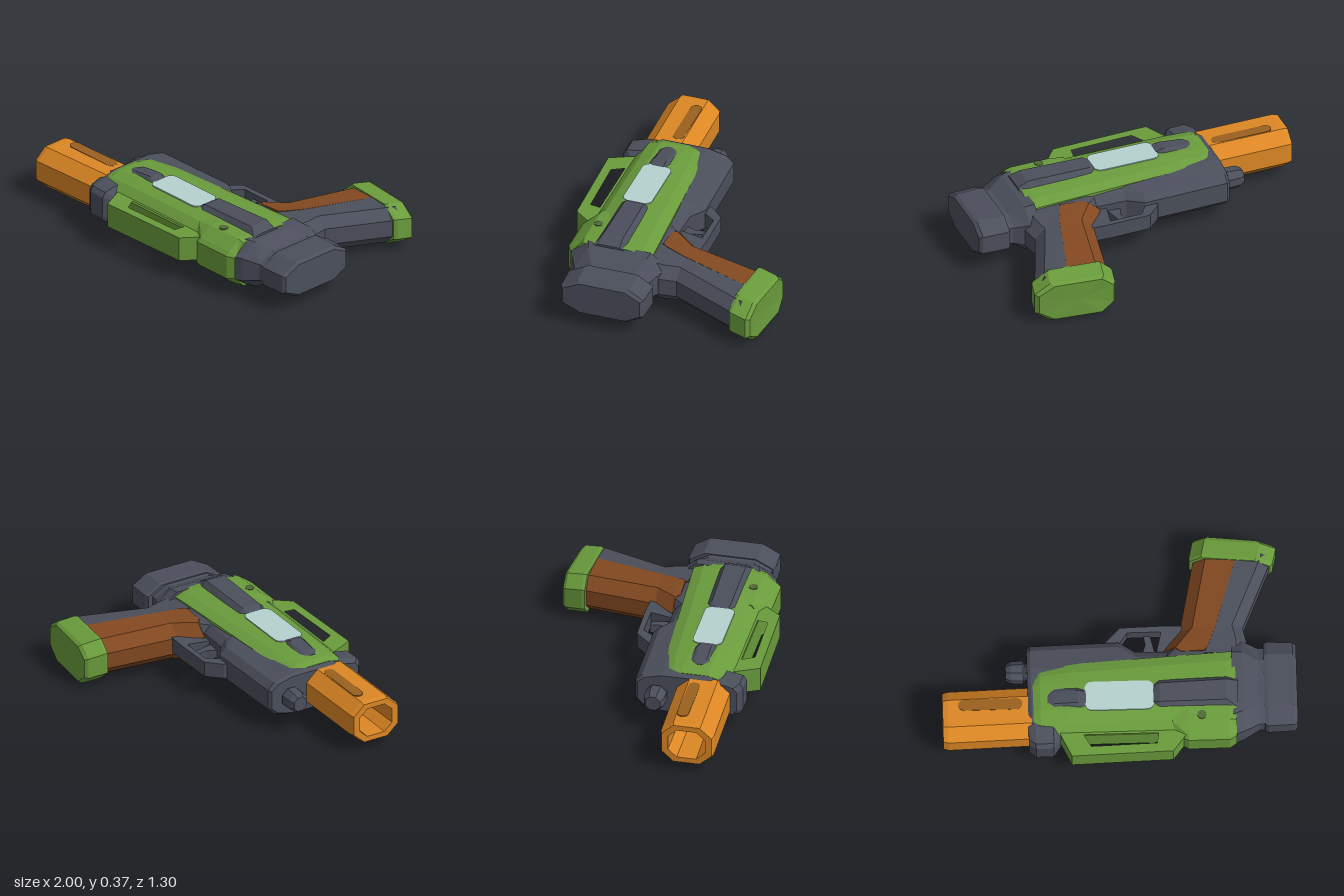
import * as THREE from 'three';

const CY = 0.187; // mid-thickness of the blaster, which lies on its side

const material = (name, color) => {
  const m = new THREE.MeshStandardMaterial({ color, flatShading: true });
  m.name = name;
  return m;
};

// Ring from half-profile points [u, half thickness], mirrored about y = cy.
function ring(axis, at, profile, cy = CY) {
  const both = [...profile, ...profile.map(([u, h]) => [u, -h]).reverse()];
  return both.map(([u, h]) =>
    axis === 'x' ? new THREE.Vector3(at, cy + h, u) : new THREE.Vector3(u, cy + h, at));
}

// Skin a list of equal-length rings, close both ends and face it outward.
function loft(rings) {
  const tris = [];
  const n = rings[0].length;
  for (let i = 0; i < rings.length - 1; i++) {
    for (let j = 0; j < n; j++) {
      const k = (j + 1) % n;
      const [a, b, c, d] = [rings[i][j], rings[i][k], rings[i + 1][k], rings[i + 1][j]];
      tris.push([a, b, c], [a, c, d]);
    }
  }
  const cap = (r, flip) => {
    const mid = r.reduce((s, p) => s.add(p), new THREE.Vector3()).divideScalar(n);
    r.forEach((p, j) => {
      const q = r[(j + 1) % n];
      tris.push(flip ? [mid, q, p] : [mid, p, q]);
    });
  };
  cap(rings[0], true);
  cap(rings[rings.length - 1], false);
  const volume = tris.reduce((s, [a, b, c]) => s + a.dot(b.clone().cross(c)), 0);
  if (volume < 0) tris.forEach((t) => t.reverse());
  const g = new THREE.BufferGeometry().setFromPoints(tris.flat());
  g.computeVertexNormals();
  return g;
}

// Outline in (x, z) extruded along y, centred on height y.
function slab(points, thickness, y = CY, hole = null) {
  const vec = (p) => p.map(([x, z]) => new THREE.Vector2(x, z));
  const shape = new THREE.Shape(vec(points));
  if (hole) shape.holes.push(new THREE.Path(vec(hole)));
  const g = new THREE.ExtrudeGeometry(shape, { depth: thickness, bevelEnabled: false });
  return g.rotateX(Math.PI / 2).translate(0, y + thickness / 2, 0);
}

// Rounded bar outline in (x, z)
function pill(x0, x1, z0, z1, r) {
  const pts = [];
  [[x1 - r, z1 - r], [x0 + r, z1 - r], [x0 + r, z0 + r], [x1 - r, z0 + r]].forEach(([x, z], q) => {
    for (let i = 0; i <= 4; i++) {
      const a = (q + i / 4) * Math.PI / 2;
      pts.push([x + r * Math.cos(a), z + r * Math.sin(a)]);
    }
  });
  return pts;
}

export function createModel() {
  const group = new THREE.Group();
  const dark = material('slate grey', 0x4b4f5b);
  const green = material('green', 0x6a9c3c);
  const orange = material('orange', 0xdd8724);
  const brown = material('grip brown', 0x834921);
  const glass = material('pale glass', 0xb4d2ce);
  const slot = material('burnt orange', 0x9c611f);
  const dimGreen = material('dark green', 0x506a38);

  const add = (name, geometry, mat) => {
    const mesh = new THREE.Mesh(geometry, mat);
    mesh.name = name;
    group.add(mesh);
    return mesh;
  };
  // Thin plate repeated on both flat sides of the body
  const plates = (name, points, h, mat, cy = CY) => {
    for (const s of [1, -1]) add(name, slab(points, 0.008, cy + s * h), mat);
  };

  // Lower frame, notched above the trigger
  const frame = (x, z, k = 1) => ring('x', x,
    [[z, 0.06 * k], [z + 0.04, 0.1 * k], [0.13, 0.128 * k], [0.4, 0.128 * k], [0.5, 0.08 * k]]);
  add('frame', loft([frame(-0.52, -0.01, 0.9), frame(-0.5, -0.025), frame(0.0, -0.035),
    frame(0.09, 0.025), frame(0.27, 0.03), frame(0.33, -0.03), frame(0.66, -0.03)]), dark);

  // Green upper shell
  const shell = (x, low, k, top = 0.52) => ring('x', x,
    [[low, 0.122 * k], [low + 0.06, 0.145 * k], [0.24, 0.153 * k], [0.39, 0.153 * k],
      [0.46, 0.128 * k], [top, 0.075 * k]]);
  add('upperShell', loft([shell(-0.49, 0.15, 0.85, 0.5), shell(-0.45, 0.125, 0.95),
    shell(-0.3, 0.11, 1), shell(0.6, 0.06, 1), shell(0.65, 0.055, 0.97)]), green);

  // Front collar over the muzzle
  const collar = (x, top, h) => ring('x', x,
    [[0.4, h], [0.48, h], [top - 0.02, h * 0.85], [top, h * 0.6]]);
  add('frontCollar', loft([collar(-0.52, 0.56, 0.1), collar(-0.48, 0.59, 0.115),
    collar(-0.38, 0.59, 0.11), collar(-0.34, 0.54, 0.08)]), dark);

  // Raised side panels
  const panel = (x, z0, z1, h) => ring('x', x,
    [[z0, 0.14], [z0 + 0.035, h], [z1 - 0.035, h], [z1, 0.14]]);
  add('frontSidePanel', loft([panel(-0.41, 0.28, 0.37, 0.15), panel(-0.37, 0.25, 0.39, 0.158),
    panel(-0.24, 0.25, 0.39, 0.172), panel(-0.18, 0.25, 0.39, 0.154)]), dark);
  add('rearSidePanel', loft([panel(0.18, 0.25, 0.39, 0.155), panel(0.22, 0.22, 0.4, 0.176),
    panel(0.6, 0.21, 0.4, 0.184), panel(0.66, 0.21, 0.4, 0.155)]), dark);
  plates('sideWindow', pill(-0.2, 0.19, 0.23, 0.4, 0.04), 0.154, glass);

  // Top carry rail and rear sight block
  add('topRail', slab([[-0.35, 0.48], [-0.34, 0.52], [-0.28, 0.645], [0.29, 0.63], [0.385, 0.51], [0.38, 0.48]],
    0.145, CY + 0.015, [[-0.21, 0.52], [-0.17, 0.59], [0.2, 0.58], [0.21, 0.52]]), green);
  const sight = (x, top, k) => ring('x', x,
    [[0.37, 0.155 * k], [0.47, 0.145 * k], [top - 0.02, 0.09 * k], [top, 0.07 * k]]);
  add('rearSight', loft([sight(0.29, 0.52, 0.9), sight(0.38, 0.565, 1),
    sight(0.61, 0.565, 1), sight(0.65, 0.54, 0.93)]), green);
  plates('sightPin', pill(0.43, 0.48, 0.415, 0.465, 0.024), 0.148, dimGreen);

  // Rear housing and end block
  const rear = (x, z0, z1, h) => ring('x', x,
    [[z0, h * 0.5], [z0 + 0.09, h], [z1 - 0.1, h], [z1, h * 0.5]]);
  add('rearHousing', loft([rear(0.63, -0.02, 0.54, 0.145), rear(0.69, -0.02, 0.52, 0.14),
    rear(0.78, 0.02, 0.47, 0.1), rear(0.84, 0.02, 0.47, 0.1)]), dark);
  add('endBlock', loft([rear(0.81, -0.005, 0.475, 0.106), rear(0.83, -0.015, 0.485, 0.11),
    rear(0.975, -0.01, 0.48, 0.108), rear(0.995, 0.005, 0.465, 0.095)]), dark);

  // Hollow muzzle with side slots
  const muzzle = (x, k, cy, cz = 0.375) => ring('x', x,
    [[-0.152, 0.06], [-0.08, 0.125], [0.08, 0.125], [0.152, 0.06]].map(([z, h]) => [cz + z * k, h * k]), cy);
  add('muzzle', loft([muzzle(-0.5, 1, 0.178, 0.37), muzzle(-0.97, 1, 0.172, 0.38),
    muzzle(-1, 0.95, 0.172, 0.38), muzzle(-1, 0.7, 0.172, 0.38), muzzle(-0.6, 0.66, 0.175)]), orange);
  plates('muzzleSlot', pill(-0.91, -0.55, 0.3, 0.365, 0.032), 0.1245, slot, 0.1745);

  // Rod under the muzzle
  const rod = (x, k) => ring('x', x,
    [[0.105 - 0.06 * k, 0.025 * k], [0.105 - 0.025 * k, 0.06 * k], [0.105 + 0.025 * k, 0.06 * k], [0.105 + 0.06 * k, 0.025 * k]]);
  add('frontRod', loft([rod(-0.5, 0.7), rod(-0.53, 0.7), rod(-0.54, 1), rod(-0.61, 0.95), rod(-0.64, 0.7)]), dark);

  // Trigger guard and trigger
  add('triggerGuard', slab([[-0.08, -0.02], [-0.07, -0.05], [0.01, -0.13], [0.25, -0.135], [0.37, -0.13], [0.37, 0.02], [0.27, 0.05], [0, 0.05]],
    0.09, 0.18, [[0, -0.03], [0.09, 0.03], [0.21, 0.03], [0.24, -0.1], [0.05, -0.1]]), dark);
  add('trigger', slab([[0.12, 0.05], [0.15, -0.03], [0.14, -0.085], [0.18, -0.08], [0.21, 0.05]], 0.05, 0.18), dark);

  // Grip: brown front half and grey back half
  const gripFront = (z, x0, xm, h, cy) => ring('z', z,
    [[x0, h * 0.4], [x0 + 0.07, h * 0.92], [xm, h]], cy);
  add('gripFront', loft([gripFront(0.045, 0.28, 0.48, 0.128, 0.18), gripFront(0.02, 0.25, 0.5, 0.127, 0.178),
    gripFront(-0.1, 0.345, 0.545, 0.122, 0.17), gripFront(-0.54, 0.435, 0.68, 0.119, 0.146)]), brown);
  const gripBack = (z, xm, x1, h, cy) => ring('z', z,
    [[xm, h], [x1 - 0.06, h * 0.92], [x1, h * 0.42]], cy);
  add('gripBack', loft([gripBack(0.06, 0.48, 0.72, 0.124, 0.18), gripBack(-0.02, 0.51, 0.72, 0.122, 0.176),
    gripBack(-0.11, 0.545, 0.7, 0.12, 0.17), gripBack(-0.54, 0.68, 0.88, 0.119, 0.146)]), dark);

  // Slanted grip base
  const base = (z, x0, x1, h, cy) => {
    const r = ring('z', z, [[x0, h * 0.5], [x0 + 0.07, h], [x1 - 0.09, h], [x1, h * 0.5]], cy);
    r.forEach((p) => { p.z += Math.max(0, p.x - 0.58) * 0.14; });
    return r;
  };
  add('gripBase', loft([base(-0.52, 0.41, 0.865, 0.124, 0.147), base(-0.54, 0.41, 0.88, 0.125, 0.146),
    base(-0.635, 0.43, 0.9, 0.122, 0.132), base(-0.653, 0.445, 0.88, 0.11, 0.131)]), green);

  return group;
}
